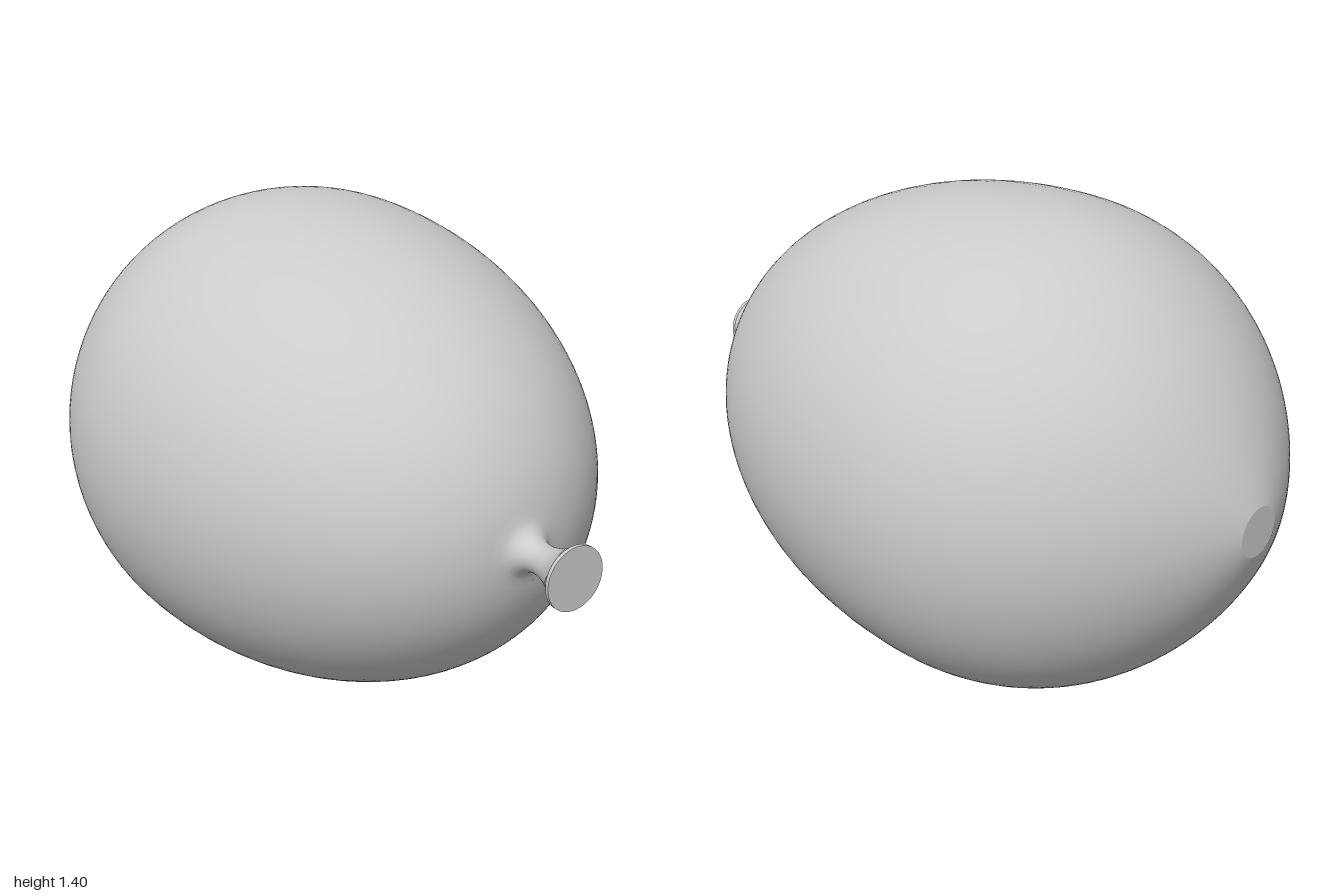
import * as THREE from 'three';

const SEGMENTS = 96;
const v = (r, z) => new THREE.Vector2(r, z);

export function createModel() {
  const group = new THREE.Group();
  const material = new THREE.MeshStandardMaterial({ color: 0xcccccc });

  const add = (name, geometry) => {
    const mesh = new THREE.Mesh(geometry, material);
    mesh.name = name;
    mesh.position.y = 0.698;
    group.add(mesh);
    return mesh;
  };
  // Revolves a (radius, z) profile, ordered back to front, around the z axis
  const revolve = (name, points) =>
    add(name, new THREE.LatheGeometry(points, SEGMENTS).rotateX(Math.PI / 2));

  // Balloon body: blunt rounded back, then a longer elliptical taper to the neck
  const back = new THREE.CubicBezierCurve(
    v(0.07, -1), v(0.45, -0.86), v(0.698, -0.58), v(0.698, -0.2)).getPoints(36);
  const front = [];
  const endAngle = Math.acos(0.989);
  for (let i = 1; i <= 44; i++) {
    const a = (Math.PI / 2 - endAngle) * (i / 44);
    front.push(v(0.698 * Math.cos(a), -0.2 + 1.017 * Math.sin(a)));
  }
  revolve('body', [...back, ...front]);

  // Flat spot at the back
  add('backTip', new THREE.CircleGeometry(0.07, SEGMENTS).rotateY(Math.PI)).position.z = -1;

  // Pinched neck flaring out to the mouth
  const neck = new THREE.SplineCurve([
    v(0.104, 0.805), v(0.07, 0.817), v(0.048, 0.843), v(0.041, 0.88),
    v(0.05, 0.925), v(0.068, 0.963), v(0.088, 0.99),
  ]).getPoints(36);
  revolve('neck', neck);

  // Thin rim and closed mouth
  revolve('mouthRim', [v(0.088, 0.99), v(0.088, 1)]);
  add('mouth', new THREE.CircleGeometry(0.088, SEGMENTS)).position.z = 1;

  return group;
}
